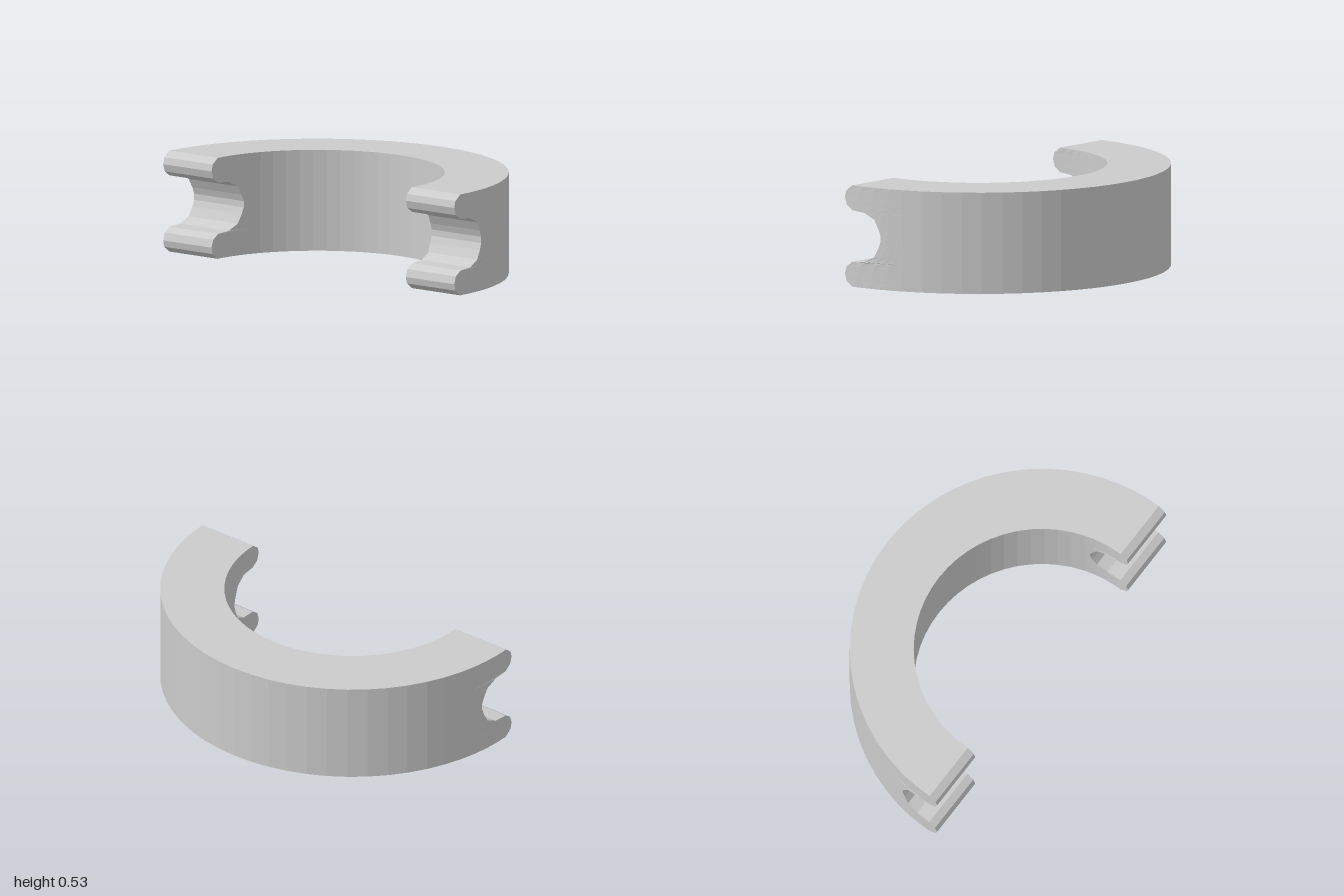
import * as THREE from 'three';

const H = 0.533, CX = -0.47, OUTER = 1, INNER = 0.667;
const BEND = 0.3, NEAR = 4, STEPS = 24;

// End edge from the bottom to mid-height [x, y]; the upper half mirrors it
const lower = [
  [-0.485, 0], [-0.524, 0.03], [-0.533, 0.065], [-0.52, 0.105], [-0.482, 0.131],
  [-0.402, 0.137], [-0.34, 0.168], [-0.315, 0.215], [-0.302, 0.25],
];
const edge = [...lower, ...lower.map(([x, y]) => [x, H - y]).reverse()];

// Point at arc length s: straight before the half circle, then round it
function arcPoint(s, r, y, flip) {
  const a = Math.max(s, 0) / r;
  const x = CX + (s < 0 ? s : r * Math.sin(a));
  return [x, y, (flip ? -1 : 1) * r * Math.cos(a)];
}

// Row of points from the front end round to the back end
function row(r, endX, y) {
  const dx = endX - CX;
  const s0 = dx < 0 ? dx : r * Math.asin(dx / r);
  const front = [], back = [], middle = [];
  for (let k = 0; k < NEAR; k++) {
    const s = THREE.MathUtils.lerp(s0, BEND * r, k / NEAR);
    front.push(arcPoint(s, r, y, false));
    back.unshift(arcPoint(s, r, y, true));
  }
  for (let k = 0; k <= STEPS; k++) {
    const a = THREE.MathUtils.lerp(BEND, Math.PI - BEND, k / STEPS);
    middle.push(arcPoint(a * r, r, y, false));
  }
  return [...front, ...middle, ...back];
}

export function createModel() {
  const group = new THREE.Group();
  const outer = edge.map(([x, y]) => row(OUTER, x, y));
  const inner = edge.map(([x, y]) => row(INNER, x, y));
  const loop = [...outer, ...[...inner].reverse()];
  const positions = [];
  const quad = (a, b, c, d) => positions.push(...a, ...b, ...c, ...a, ...c, ...d);

  // Outer wall, top, inner wall and underside
  const last = outer[0].length - 1;
  loop.forEach((lowerRow, i) => {
    const upperRow = loop[(i + 1) % loop.length];
    for (let j = 0; j < last; j++) quad(lowerRow[j], lowerRow[j + 1], upperRow[j + 1], upperRow[j]);
  });

  // Notched ends
  for (let i = 0; i < edge.length - 1; i++) {
    quad(inner[i][0], outer[i][0], outer[i + 1][0], inner[i + 1][0]);
    quad(outer[i][last], inner[i][last], inner[i + 1][last], outer[i + 1][last]);
  }

  const geometry = new THREE.BufferGeometry();
  geometry.setAttribute('position', new THREE.Float32BufferAttribute(positions, 3));
  geometry.computeVertexNormals();
  const ring = new THREE.Mesh(geometry, new THREE.MeshStandardMaterial({ color: 0xcccccc, flatShading: true }));
  ring.name = 'notchedHalfRing';
  group.add(ring);
  return group;
}
